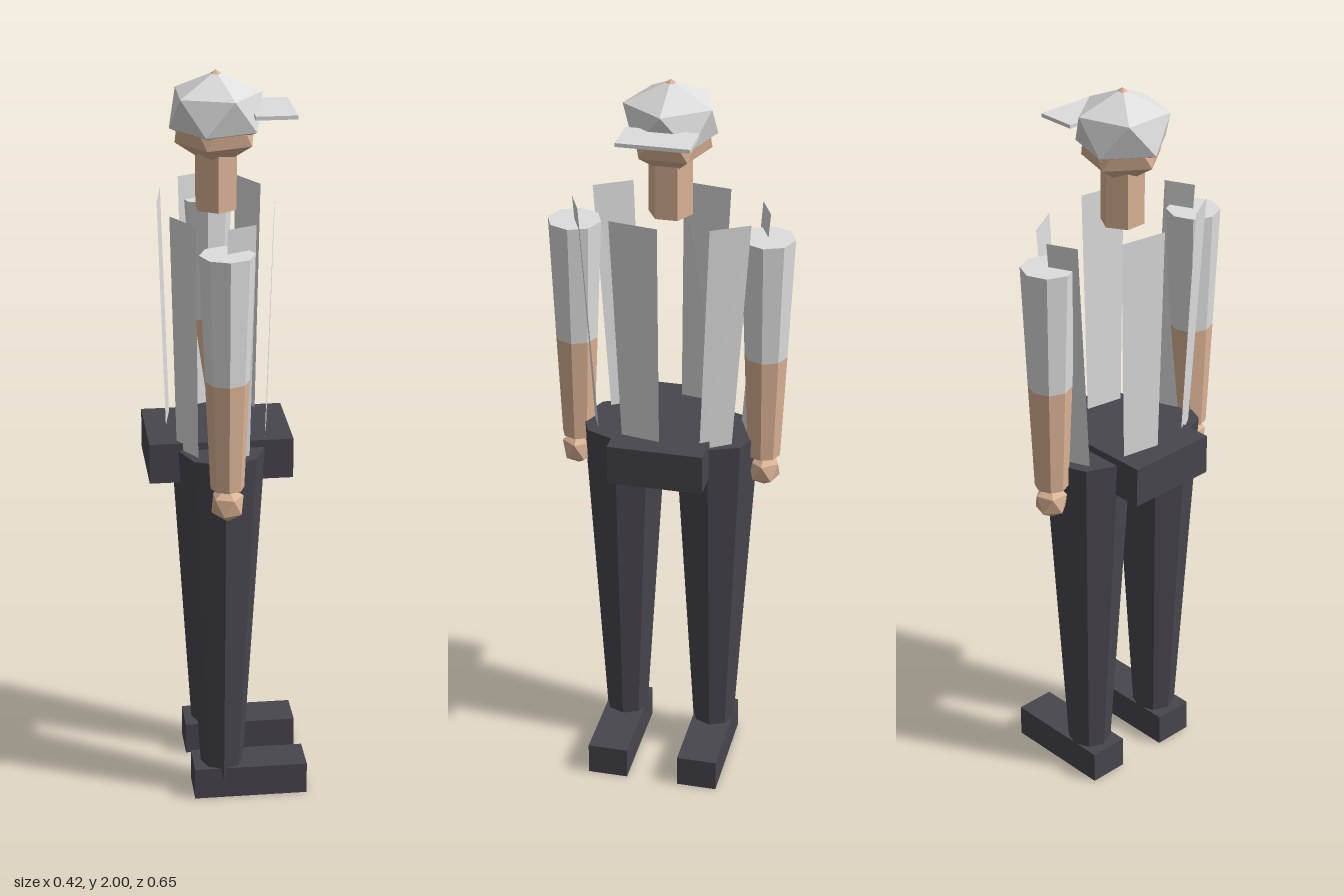
import * as THREE from 'three';

const shirt = new THREE.MeshStandardMaterial({ color: 0xdedede, side: THREE.DoubleSide });
shirt.name = 'lightGrey';
const skin = new THREE.MeshStandardMaterial({ color: 0xdcb496 });
skin.name = 'skin';
const dark = new THREE.MeshStandardMaterial({ color: 0x48464e });
dark.name = 'charcoal';

const CX = -0.02; // the body axis sits slightly behind the centre

export function createModel() {
  const model = new THREE.Group();
  model.name = 'figure';

  function add(name, geometry, material, x = 0, y = 0, z = 0) {
    const flat = geometry.index ? geometry.toNonIndexed() : geometry;
    flat.computeVertexNormals();
    const mesh = new THREE.Mesh(flat, material);
    mesh.name = name;
    mesh.position.set(x, y, z);
    model.add(mesh);
    return mesh;
  }

  // Box given by its limits on each axis
  function box(name, material, x0, x1, y0, y1, z0, z1) {
    add(name, new THREE.BoxGeometry(x1 - x0, y1 - y0, z1 - z0), material,
      (x0 + x1) / 2, (y0 + y1) / 2, (z0 + z1) / 2);
  }

  // Faceted, tapered limb between two heights
  function limb(name, material, y0, y1, r0, r1, z, sides = 8) {
    add(name, new THREE.CylinderGeometry(r1, r0, y1 - y0, sides), material, CX, (y0 + y1) / 2, z);
  }

  // Icosahedron standing on one corner, with an upper corner facing +x
  function ball(name, material, r, ry, y, z = 0) {
    const g = new THREE.IcosahedronGeometry(1, 0);
    g.rotateX(-Math.atan((1 + Math.sqrt(5)) / 2));
    g.rotateY(Math.PI / 2);
    g.scale(r, ry, r);
    add(name, g, material, CX, y, z);
  }

  // Head, neck and cap
  limb('neck', skin, 1.64, 1.8, 0.058, 0.058, 0, 6);
  ball('head', skin, 0.118, 0.128, 1.872);
  ball('cap', shirt, 0.134, 0.1, 1.897);
  box('capVisor', shirt, 0.07, 0.177, 1.89, 1.9, -0.094, 0.094);

  // Shirt: every other panel of a tapered twelve-sided oval
  for (let k = 0; k < 6; k++) {
    const a0 = (k * Math.PI) / 3, a1 = a0 + Math.PI / 6;
    const low = a => [CX + 0.134 * Math.cos(a), 1.02, 0.209 * Math.sin(a)];
    const high = a => [CX + 0.153 * Math.cos(a), 1.66, 0.26 * Math.sin(a)];
    const g = new THREE.BufferGeometry();
    g.setAttribute('position', new THREE.Float32BufferAttribute(
      [...low(a1), ...low(a0), ...high(a0), ...high(a1)], 3));
    g.setIndex([0, 1, 2, 0, 2, 3]);
    add('shirtPanel', g, shirt);
  }

  // Hips
  box('hips', dark, -0.21, 0.17, 0.93, 1.04, -0.128, 0.128);

  // Arms and legs, one of each per side
  for (const s of [1, -1]) {
    limb('sleeve', shirt, 1.26, 1.595, 0.057, 0.071, s * 0.255);
    limb('forearm', skin, 0.965, 1.26, 0.044, 0.057, s * 0.255);
    ball('hand', skin, 0.047, 0.05, 0.92, s * 0.257);
    limb('leg', dark, 0.06, 1.02, 0.057, 0.115, s * 0.126);
    const z0 = s * 0.127;
    box('shoe', dark, -0.1, 0.21, 0, 0.09, z0 - 0.055, z0 + 0.055);
  }

  return model;
}
